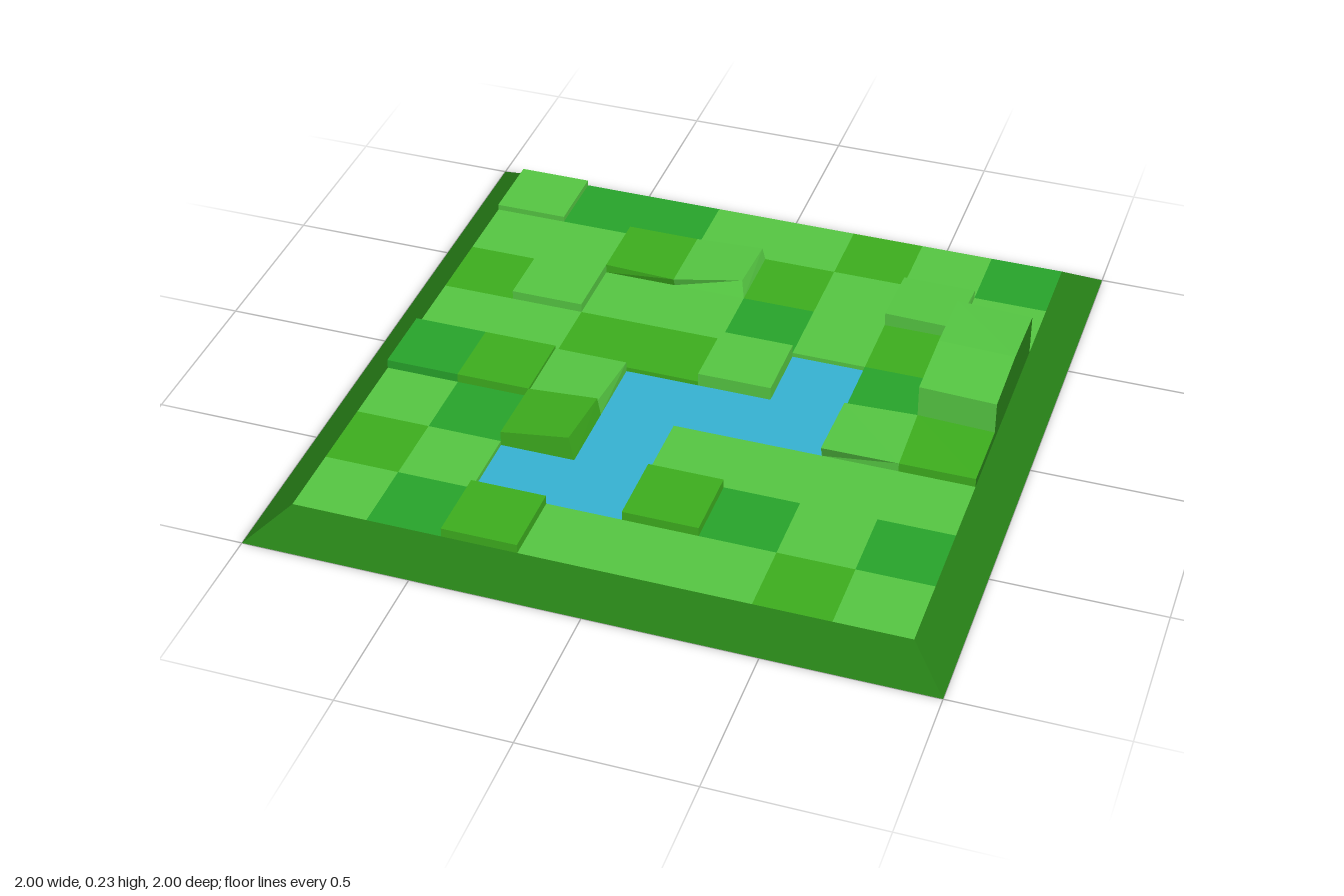
import * as THREE from 'three';

const N = 8, HALF = 0.89, CELL = (2 * HALF) / N;

// Ground cover per tile (rows back to front): L light, G olive, D deep green, B water, S bank
const COVER = [
  'LDDLLGLD',
  'LLGLGLLL',
  'GLLLDLGL',
  'LLGGLBDL',
  'DGLBBBLG',
  'LDGBLLLL',
  'GLBBGDLD',
  'LDGLLLGL',
];
// Height level per tile: 0 water, 1 flat, 2 slightly raised, 3 raised, 4 tall block
const LEVEL = [
  '21111111',
  '11331131',
  '13111114',
  '11113014',
  '33200033',
  '11301111',
  '11003111',
  '11311111',
];
const Y = [0.068, 0.082, 0.1, 0.11, 0.21];

// Uneven raised corners, keyed by column,row: dx, dy, dz
const BUMPS = {
  '4,2': [-0.015, 0.015, 0.025], '4,1': [-0.01, 0.01, 0], '3,2': [0, 0, 0.01],
  '6,5': [0, 0.015, 0.02], '3,6': [-0.015, 0.035, 0], '2,6': [0, 0.005, 0],
  '3,5': [-0.01, 0.015, 0], '7,3': [-0.005, 0.018, 0], '8,3': [0, 0.012, 0],
  '7,2': [-0.005, 0.01, 0], '7,4': [-0.005, 0.008, 0], '6,2': [0, 0.015, 0],
};
BUMPS['4,2'][2] = -0.03; // this corner leans towards the back

const PARTS = {
  L: ['lightGrass', 0x55c642],
  G: ['oliveGrass', 0x3dad1e],
  D: ['deepGrass', 0x27a32b],
  B: ['water', 0x35b1d2],
  S: ['slopedBank', 0x267d16],
};

export function createModel() {
  const points = { L: [], G: [], D: [], B: [], S: [] };
  const quad = (key, a, b, c, d) => points[key].push(...a, ...b, ...c, ...a, ...c, ...d);

  const levelAt = (c, r) => (c < 0 || r < 0 || c >= N || r >= N ? 1 : +LEVEL[r][c]);
  const corner = (c, r, level) => {
    const [dx, dy, dz] = (level > 1 && BUMPS[`${c},${r}`]) || [0, 0, 0];
    return [-HALF + c * CELL + dx, Y[level] + dy, -HALF + r * CELL + dz];
  };

  // Tiles and the step walls down to lower neighbours
  for (let r = 0; r < N; r++) {
    for (let c = 0; c < N; c++) {
      const level = levelAt(c, r), cover = COVER[r][c];
      const ring = [[c, r], [c, r + 1], [c + 1, r + 1], [c + 1, r]];
      const top = ring.map(([i, j]) => corner(i, j, level));
      quad(cover, ...top);
      [[-1, 0], [0, 1], [1, 0], [0, -1]].forEach(([dc, dr], k) => {
        const below = levelAt(c + dc, r + dr);
        if (below >= level) return;
        const m = (k + 1) % 4;
        let key = cover;
        if (c + dc >= N) key = 'S';
        else if (level === 4 && dc < 0) key = COVER[r][c + dc];
        quad(key, corner(...ring[k], below), corner(...ring[m], below), top[m], top[k]);
      });
    }
  }

  // Sloping bank around the four sides
  const outer = [[-1, -1], [-1, 1], [1, 1], [1, -1]];
  outer.forEach(([x, z], k) => {
    const [u, w] = outer[(k + 1) % 4];
    quad('S', [x, 0, z], [u, 0, w],
      [u * HALF, Y[1], w * HALF], [x * HALF, Y[1], z * HALF]);
  });

  // One mesh per ground cover
  const group = new THREE.Group();
  group.name = 'meadowTile';
  for (const [key, [name, color]] of Object.entries(PARTS)) {
    const geometry = new THREE.BufferGeometry();
    geometry.setAttribute('position', new THREE.Float32BufferAttribute(points[key], 3));
    geometry.computeVertexNormals();
    const mesh = new THREE.Mesh(geometry, new THREE.MeshStandardMaterial({
      color, flatShading: true, side: THREE.DoubleSide,
    }));
    mesh.name = name;
    group.add(mesh);
  }
  return group;
}
